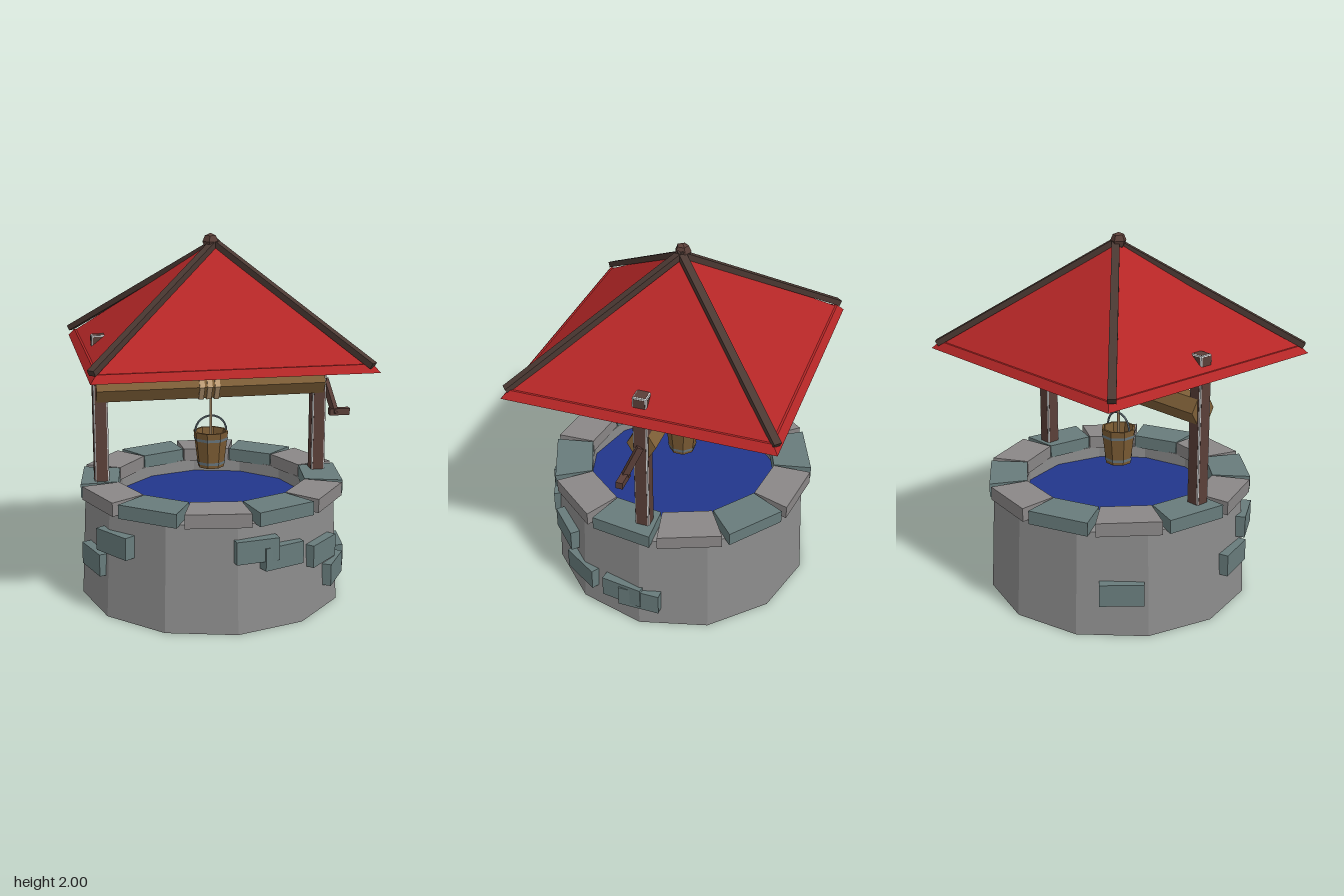
import * as THREE from 'three';
import { RoundedBoxGeometry } from 'three/addons/geometries/RoundedBoxGeometry.js';

const mat = (color, side = THREE.FrontSide) =>
  new THREE.MeshStandardMaterial({ color, flatShading: true, side });
const M = {
  wall: mat(0x8c8c8c), grey: mat(0x8a8787), slate: mat(0x687c7c), water: mat(0x22368c),
  post: mat(0x5a3f38), ridge: mat(0x4a3832), log: mat(0x7f6038), rope: mat(0xc0a078),
  bucket: mat(0x7c5c34, THREE.DoubleSide), metal: mat(0x6a7880, THREE.DoubleSide),
  roof: mat(0xb42626), edge: mat(0xcccccc),
};
const DEG = Math.PI / 180;

export function createModel() {
  const well = new THREE.Group();
  well.name = 'well';
  well.position.x = -0.022;

  const add = (name, geo, material, x = 0, y = 0, z = 0, parent = well) => {
    const mesh = new THREE.Mesh(geo, material);
    mesh.name = name;
    mesh.position.set(x, y, z);
    parent.add(mesh);
    return mesh;
  };
  const box = (w, h, d) => new THREE.BoxGeometry(w, h, d);
  const lathe = (pts, n) => new THREE.LatheGeometry(pts.map(p => new THREE.Vector2(...p)), n);
  // square bar between two points
  const bar = (name, a, b, w, h, material) => {
    const from = new THREE.Vector3(...a), to = new THREE.Vector3(...b);
    const mesh = add(name, box(w, h, from.distanceTo(to)), material);
    mesh.position.copy(from).add(to).multiplyScalar(0.5);
    mesh.lookAt(to);
  };

  // twelve-sided tapered wall with a hollow top, and the water inside
  add('wall', lathe([[0, 0], [0.736, 0], [0.708, 0.585], [0.54, 0.585], [0.54, 0.48]], 12), M.wall);
  add('water', new THREE.CircleGeometry(0.545, 12).rotateX(-Math.PI / 2), M.water, 0, 0.515, 0);

  // ring of wedge-shaped rim stones in alternating colours
  const wedge = new THREE.Shape([[-0.172, 0.722], [-0.135, 0.515], [0.135, 0.515], [0.172, 0.722]]
    .map(p => new THREE.Vector2(...p)));
  const stoneGeo = new THREE.ExtrudeGeometry(wedge, { depth: 0.075, bevelEnabled: false })
    .rotateX(Math.PI / 2);
  for (let i = 0; i < 12; i++) {
    const stone = add('rimStone', stoneGeo, i % 2 ? M.slate : M.grey, 0, 0.655, 0);
    stone.rotation.y = (-8 + i * 30) * DEG;
  }

  // protruding wall stones: angle from the front, centre height
  const wallStones = [[-131, 0.25], [-72, 0.28], [-56, 0.425], [8, 0.45], [20, 0.4],
    [44, 0.35], [58, 0.188], [82, 0.193], [90, 0.172]];
  for (const [deg, y] of wallStones) {
    const a = deg * DEG, r = 0.703;
    add('wallStone', box(0.235, 0.122, 0.08), M.slate, r * Math.sin(a), y, r * Math.cos(a)).rotation.y = a;
  }

  // posts: plain faces over a pale bevelled core
  const w = 0.08, c = 0.009, h = 0.87;
  for (const side of [-1, 1]) {
    const post = new THREE.Group();
    post.name = side > 0 ? 'leftPost' : 'rightPost';
    post.position.set(side * 0.617, 0.6 + h / 2, 0);
    well.add(post);
    add('postBevel', new RoundedBoxGeometry(w - 0.001, h - 0.001, w - 0.001, 1, c), M.edge, 0, 0, 0, post);
    add('postSides', box(w, h - 2 * c, w - 2 * c), M.post, 0, 0, 0, post);
    add('postFront', box(w - 2 * c, h - 2 * c, w), M.post, 0, 0, 0, post);
    add('postTop', box(w - 2 * c, h, w - 2 * c), M.post, 0, 0, 0, post);
  }

  // hexagonal windlass log with rope windings
  const hex = (r, len) => new THREE.CylinderGeometry(r, r, len, 6).rotateZ(Math.PI / 2);
  add('windlassLog', hex(0.079, 1.28), M.log, 0, 1.17, 0);
  for (const x of [-0.062, -0.019, 0.024]) add('ropeWinding', hex(0.087, 0.028), M.rope, x, 1.17, 0);
  add('rope', new THREE.CylinderGeometry(0.008, 0.008, 0.4, 6), M.rope, 0, 0.93, 0);

  // crank
  bar('crankArm', [0.678, 1.175, -0.002], [0.678, 0.985, 0.08], 0.03, 0.034, M.post);
  add('crankHandle', box(0.115, 0.038, 0.038), M.post, 0.724, 0.998, 0.07);

  // bucket with staves, hoops and bail
  const bucket = new THREE.Group();
  bucket.name = 'bucket';
  bucket.position.y = 0.7;
  well.add(bucket);
  const turn = Math.PI / 8;
  add('bucketBody', lathe([[0, 0], [0.074, 0], [0.099, 0.205], [0.086, 0.205], [0.064, 0.02], [0, 0.02]], 8),
    M.bucket, 0, 0, 0, bucket).rotation.y = turn;
  for (const y of [0.018, 0.155]) {
    const r = 0.077 + y * 0.122;
    add('hoop', new THREE.CylinderGeometry(r + 0.002, r, 0.016, 8, 1, true), M.metal, 0, y + 0.008, 0, bucket)
      .rotation.y = turn;
  }
  add('bail', new THREE.TorusGeometry(0.088, 0.006, 5, 14, Math.PI), M.metal, 0, 0.203, 0, bucket);

  // pyramid roof with a flared fascia
  const pyramid = (top, bottom, height) =>
    new THREE.CylinderGeometry(top * Math.SQRT2, bottom * Math.SQRT2, height, 4).rotateY(Math.PI / 4);
  add('fascia', pyramid(0.695, 0.727, 0.04), M.roof, 0, 1.37, 0);
  add('roof', pyramid(0, 0.69, 0.56), M.roof, 0, 1.665, 0);

  // hip ridges and finial
  for (const sx of [-1, 1]) for (const sz of [-1, 1])
    bar('hipRidge', [sx * 0.705, 1.392, sz * 0.705], [0, 1.95, 0], 0.042, 0.032, M.ridge);
  add('finial', new THREE.SphereGeometry(0.045, 5, 4), M.post, 0, 1.955, 0);

  const model = new THREE.Group();
  model.add(well);
  return model;
}
